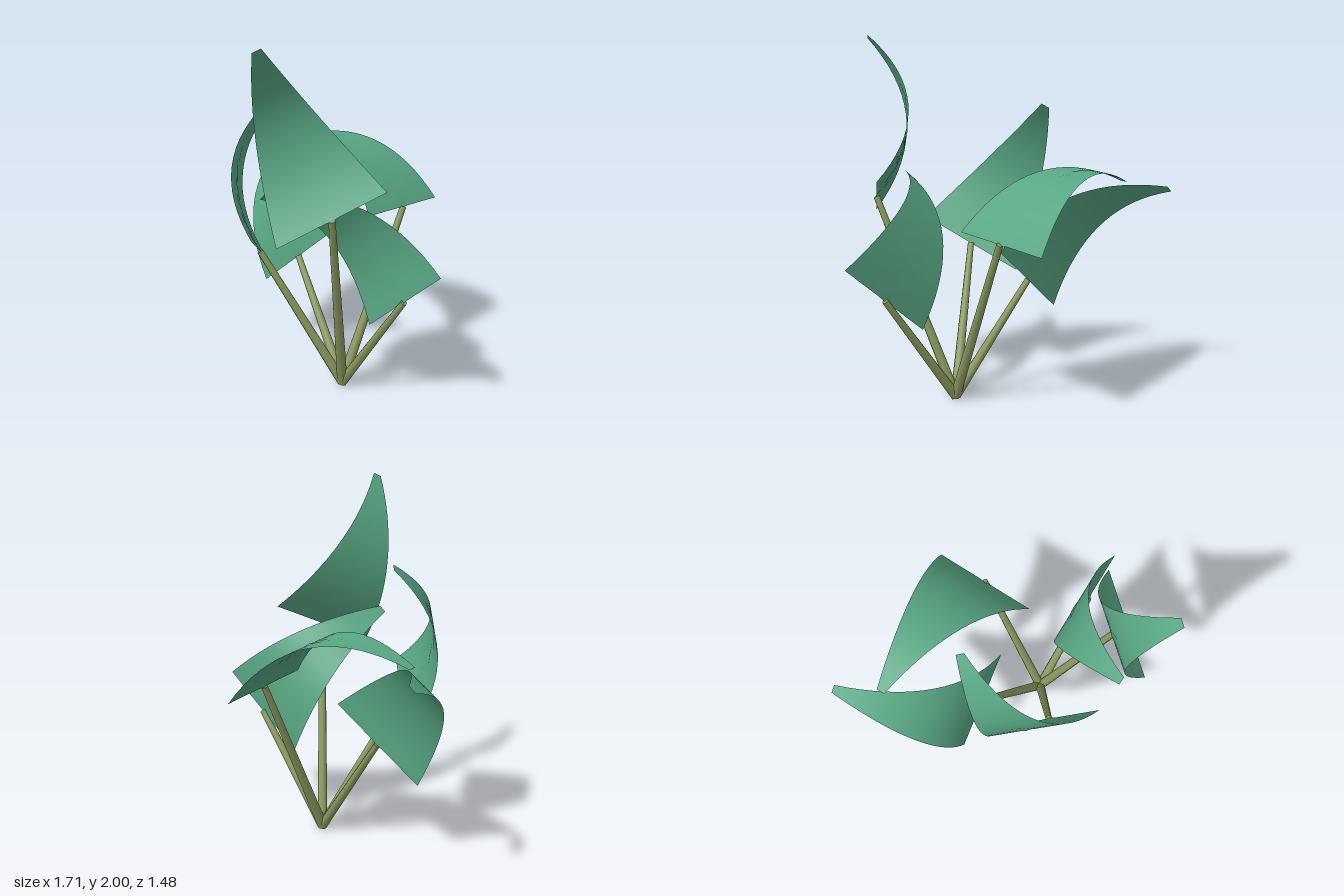
import * as THREE from 'three';

const V = (x, y, z) => new THREE.Vector3(x, y, z);
const ROOT = V(0.168, 0.012, 0.022);

// Each leaf: the two ends of its wide base edge and its tip
const LEAVES = [
  { name: 'tallLeaf', a: V(0.295, 1.0, 0.63), b: V(0.585, 1.25, 0.14), tip: V(0.28, 1.99, 0.72) },
  { name: 'backLeaf', a: V(0.185, 0.945, -0.735), b: V(0.225, 0.98, -0.12), tip: V(-0.7, 1.2, -0.385) },
  { name: 'frontRightLeaf', a: V(0.01, 0.94, 0.54), b: V(-0.34, 0.645, 0.12), tip: V(-0.38, 1.615, -0.08) },
  { name: 'rightLeaf', a: V(-0.045, 0.83, -0.11), b: V(-0.51, 0.435, -0.02), tip: V(-0.84, 1.17, -0.6) },
  { name: 'leftLeaf', a: V(0.375, 0.43, 0.03), b: V(0.855, 0.835, 0.025), tip: V(0.13, 1.22, 0.57) },
];

// Tapered blade arched along its chord, with a faintly puckered midrib
function leafGeometry({ a, b, tip }) {
  const base = a.clone().add(b).multiplyScalar(0.5);
  const chord = tip.clone().sub(base);
  const side = b.clone().sub(a).normalize();
  const bow = chord.clone().cross(side).normalize();
  const rows = 18;
  const across = [-1, -0.55, -0.14, 0, 0.14, 0.55, 1];
  const pos = [], index = [];
  for (let i = 0; i <= rows; i++) {
    const s = i / rows;
    const half = THREE.MathUtils.lerp(0.31, 0.024, s);
    const arch = 0.8 * s * (1 - s);
    for (const u of across) {
      const pucker = u === 0 ? (i % 2 ? 0.006 : -0.006) * (1 - s) : 0;
      const p = base.clone()
        .addScaledVector(chord, s)
        .addScaledVector(side, u * half)
        .addScaledVector(bow, arch + pucker);
      pos.push(p.x, p.y, p.z);
    }
  }
  const n = across.length;
  for (let i = 0; i < rows; i++) {
    for (let j = 0; j < n - 1; j++) {
      const k = i * n + j;
      index.push(k, k + n, k + 1, k + 1, k + n, k + n + 1);
    }
  }
  const geo = new THREE.BufferGeometry();
  geo.setAttribute('position', new THREE.Float32BufferAttribute(pos, 3));
  geo.setIndex(index);
  geo.computeVertexNormals();
  return geo;
}

// Straight tapered stalk between two points
function stemMesh(from, to, material) {
  const dir = to.clone().sub(from);
  const mesh = new THREE.Mesh(new THREE.CylinderGeometry(0.018, 0.029, dir.length(), 8), material);
  mesh.position.copy(from).addScaledVector(dir, 0.5);
  mesh.quaternion.setFromUnitVectors(V(0, 1, 0), dir.normalize());
  return mesh;
}

export function createModel() {
  const leafGreen = new THREE.MeshStandardMaterial({ color: 0x58a683, side: THREE.DoubleSide });
  leafGreen.name = 'leafGreen';
  const stemGreen = new THREE.MeshStandardMaterial({ color: 0x8a9a60 });
  stemGreen.name = 'stemGreen';

  const plant = new THREE.Group();
  plant.name = 'plant';
  for (const leaf of LEAVES) {
    const blade = new THREE.Mesh(leafGeometry(leaf), leafGreen);
    blade.name = leaf.name;
    const top = leaf.a.clone().add(leaf.b).multiplyScalar(0.5);
    const stem = stemMesh(ROOT, top, stemGreen);
    stem.name = leaf.name + 'Stem';
    plant.add(blade, stem);
  }
  return plant;
}
